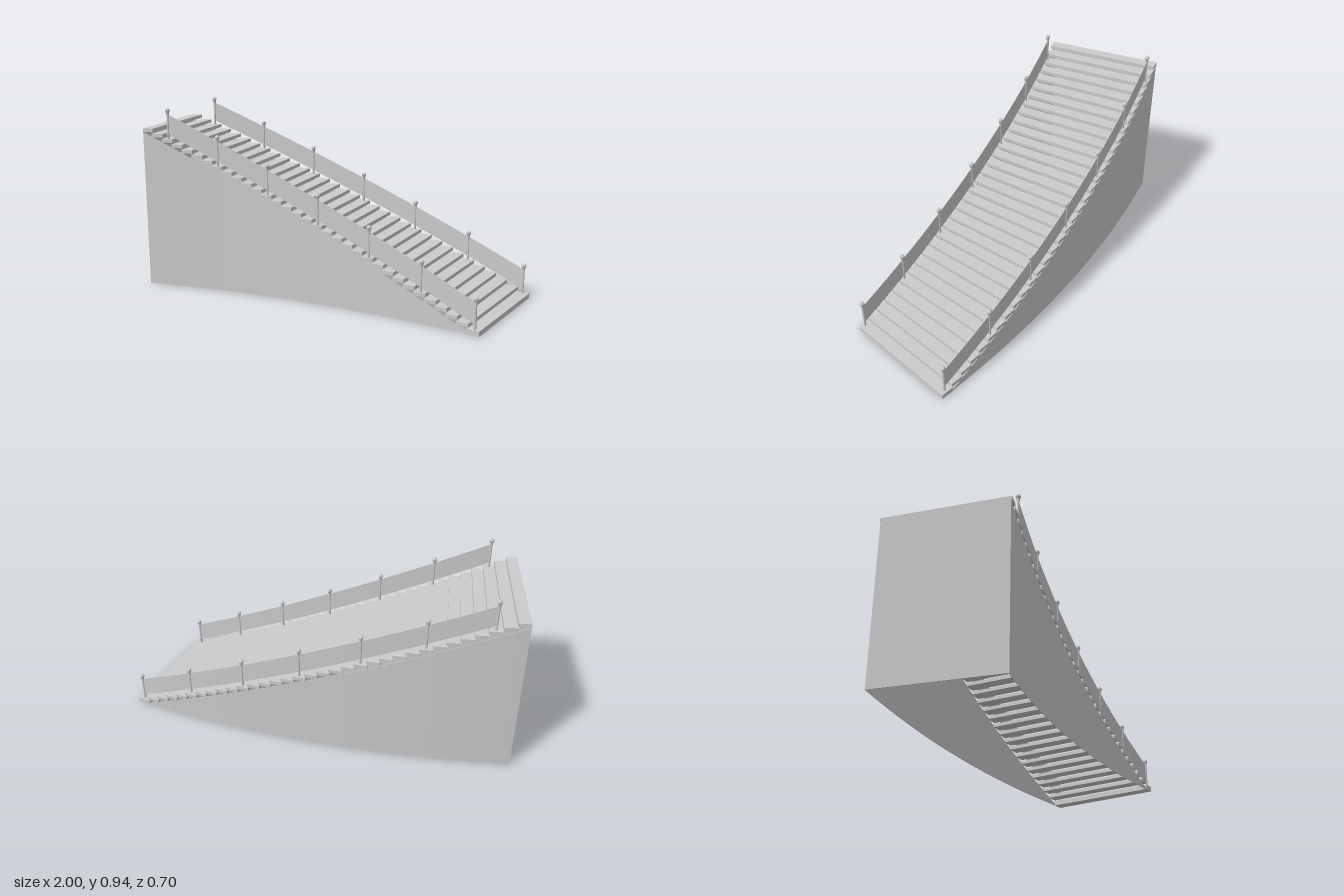
import * as THREE from 'three';
import { toCreasedNormals } from 'three/addons/utils/BufferGeometryUtils.js';

const CX = 0.02, CZ = 5.5;            // centre of the curve
const R_IN = 5.235, R_OUT = 5.85;     // inner and outer edge of the flight
const STEPS = 33, RISE = 0.0253, TREAD = 0.018;
const A_START = THREE.MathUtils.degToRad(9.64);
const PITCH = THREE.MathUtils.degToRad(19.68) / STEPS;

const material = new THREE.MeshStandardMaterial({ color: 0xcccccc, side: THREE.DoubleSide });

// s counts steps up the flight, r is the distance from the centre
function point(r, s, y) {
  const a = A_START - s * PITCH;
  return [CX + r * Math.sin(a), y, CZ - r * Math.cos(a)];
}

// Closed curved bar from s0 to s1, with bottom and top heights given by rules
function arcBar(name, r0, r1, s0, s1, bottom, top, segments) {
  const positions = [], index = [];
  for (let i = 0; i <= segments; i++) {
    const s = s1 + (s0 - s1) * i / segments;
    const b = bottom(s), t = top(s);
    positions.push(...point(r0, s, b), ...point(r1, s, b), ...point(r1, s, t), ...point(r0, s, t));
  }
  const quad = (a, b, c, d) => index.push(a, b, c, a, c, d);
  for (let i = 0; i < segments; i++) {
    for (let j = 0; j < 4; j++) {
      const k = (j + 1) % 4, p = i * 4, q = p + 4;
      quad(p + j, p + k, q + k, q + j);
    }
  }
  const e = segments * 4;
  quad(3, 2, 1, 0);
  quad(e, e + 1, e + 2, e + 3);
  const geometry = new THREE.BufferGeometry();
  geometry.setAttribute('position', new THREE.Float32BufferAttribute(positions, 3));
  geometry.setIndex(index);
  const mesh = new THREE.Mesh(toCreasedNormals(geometry, 0.5), material);
  mesh.name = name;
  return mesh;
}

function createTreads() {
  const group = new THREE.Group();
  group.name = 'treads';
  for (let k = 0; k < STEPS; k++) {
    const top = RISE * (k + 1);
    const bottom = k === 0 ? 0 : top - TREAD;
    const end = Math.min(k + 1.1, STEPS);
    group.add(arcBar('tread', R_IN, R_OUT, k, end, () => bottom, () => top, 1));
  }
  return group;
}

// Hollow base: two curved side walls and the tall end wall, open underneath
function createBase() {
  const group = new THREE.Group();
  group.name = 'base';
  const ground = () => 0;
  const slope = s => Math.max(0.001, RISE * (s - 1) + 0.005);
  group.add(arcBar('innerWall', R_IN + 0.003, R_IN + 0.006, 0.85, STEPS, ground, slope, 48));
  group.add(arcBar('outerWall', R_OUT - 0.006, R_OUT - 0.003, 0.85, STEPS, ground, slope, 48));
  group.add(arcBar('endWall', R_IN + 0.003, R_OUT - 0.003, STEPS - 0.05, STEPS, ground, () => RISE * STEPS - TREAD, 1));
  return group;
}

// Post with a flared neck and a ball on top
function postGeometry() {
  const profile = [[0, 0], [0.006, 0], [0.006, 0.115], [0.008, 0.132]];
  for (let i = 0; i <= 8; i++) {
    const t = -0.8 + (Math.PI / 2 + 0.8) * i / 8;
    profile.push([Math.max(0, 0.0125 * Math.cos(t)), 0.1455 + 0.0125 * Math.sin(t)]);
  }
  return new THREE.LatheGeometry(profile.map(p => new THREE.Vector2(...p)), 16);
}

function createRailing(name, radius, post) {
  const group = new THREE.Group();
  group.name = name;
  for (let s = 0.5; s < 31; s += 5) {
    const mesh = new THREE.Mesh(post, material);
    mesh.name = 'post';
    mesh.position.set(...point(radius, s, RISE * (s + 0.5)));
    group.add(mesh);
  }
  // Thin panel following the slope from the first post to the last
  const line = offset => s => RISE * (s + 0.5) + offset;
  group.add(arcBar('panel', radius - 0.0015, radius + 0.0015, 0.5, 30.5, line(0.022), line(0.126), 36));
  return group;
}

export function createModel() {
  const model = new THREE.Group();
  model.name = 'curvedStaircase';
  const post = postGeometry();
  model.add(createBase(), createTreads());
  model.add(createRailing('innerRailing', R_IN + 0.014, post));
  model.add(createRailing('outerRailing', R_OUT - 0.018, post));
  return model;
}
